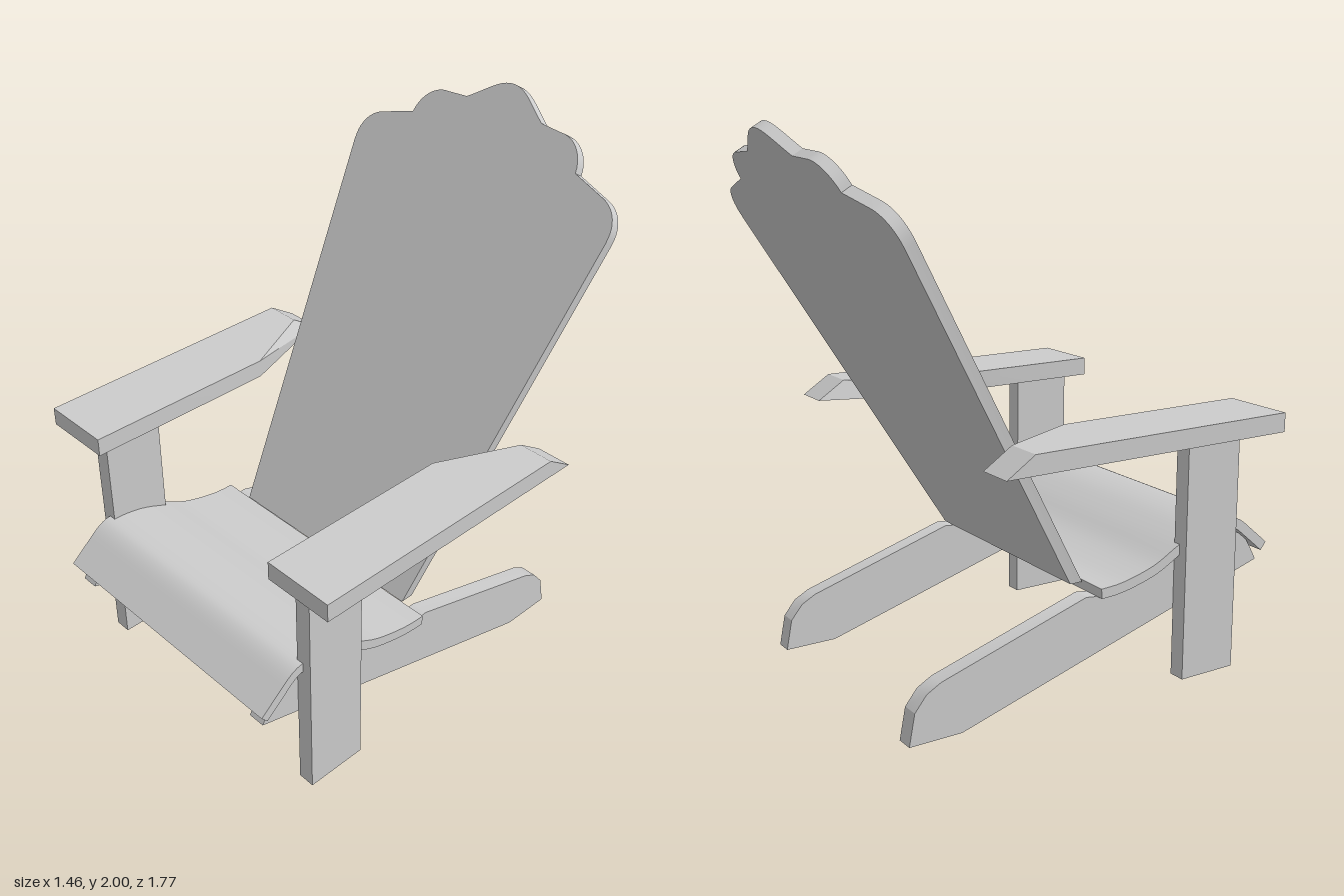
import * as THREE from 'three';
import { toCreasedNormals } from 'three/addons/utils/BufferGeometryUtils.js';

const material = new THREE.MeshStandardMaterial({ color: 0xcccccc });
const V = (x, y) => new THREE.Vector2(x, y);

function part(name, geometry) {
  const mesh = new THREE.Mesh(toCreasedNormals(geometry, 0.45), material);
  mesh.name = name;
  return mesh;
}

// Extrude a side profile given in (z, y) across the width, centred on x
function sideExtrude(shape, width, x) {
  const g = new THREE.ExtrudeGeometry(shape, { depth: width, bevelEnabled: false, curveSegments: 8 });
  return g.translate(0, 0, -width / 2).rotateY(-Math.PI / 2).translate(x, 0, 0);
}

// Curved seat board: a top curve and its offset underside
function seat() {
  const top = new THREE.SplineCurve([
    V(0.885, 0.44), V(0.82, 0.495), V(0.75, 0.55), V(0.69, 0.565), V(0.58, 0.55),
    V(0.465, 0.505), V(0.35, 0.447), V(0.215, 0.412), V(0.12, 0.405)]);
  const upper = [], lower = [];
  for (let i = 0; i <= 32; i++) {
    const p = top.getPoint(i / 32), t = top.getTangent(i / 32);
    upper.push(p);
    lower.unshift(V(p.x - t.y * 0.037, p.y + t.x * 0.037));
  }
  return part('seat', sideExtrude(new THREE.Shape([...upper, ...lower]), 1.075, 0));
}

// Leaning back board with a scalloped crown
function backrest() {
  const lean = Math.atan2(0.96, 1.6), thick = 0.043;
  const s = (y) => (y - 0.4) / Math.cos(lean); // height to distance along the board
  const half = [
    V(0.429, s(0.4)), V(0.609, s(1.66)),
    ...new THREE.CubicBezierCurve(V(0.61, s(1.68)), V(0.61, s(1.73)), V(0.575, s(1.765)), V(0.53, s(1.777))).getPoints(10),
    ...new THREE.CubicBezierCurve(V(0.388, s(1.815)), V(0.382, s(1.87)), V(0.33, s(1.915)), V(0.265, s(1.912))).getPoints(10),
    ...new THREE.CubicBezierCurve(V(0.177, s(1.917)), V(0.1, s(1.96)), V(0.06, s(2)), V(0, s(2))).getPoints(10)];
  const mirrored = half.slice(0, -1).reverse().map((p) => V(-p.x, p.y));
  const g = new THREE.ExtrudeGeometry(new THREE.Shape([...half, ...mirrored]), { depth: thick, bevelEnabled: false });
  g.translate(0, 0, -thick);
  // Cut the foot of the board level
  const pos = g.attributes.position;
  for (let i = 0; i < pos.count; i++) {
    if (pos.getY(i) < 0.01 && pos.getZ(i) < -0.01) pos.setY(i, thick * Math.tan(lean));
  }
  g.rotateX(-lean).translate(0, 0.4, 0.115);
  return part('backrest', g);
}

// Sloping rail that doubles as the rear leg
function rail(side) {
  const shape = new THREE.Shape();
  shape.moveTo(-0.43, 0);
  shape.lineTo(0.86, 0.37);
  shape.lineTo(0.83, 0.425);
  shape.splineThru([V(0.79, 0.475), V(0.7, 0.515), V(0.58, 0.51), V(0.465, 0.46), V(0.35, 0.395), V(0.22, 0.363), V(0.075, 0.375)]);
  shape.lineTo(-0.51, 0.2);
  shape.lineTo(-0.565, 0.17);
  shape.lineTo(-0.61, 0.115);
  shape.lineTo(-0.632, 0);
  return part('sideRail', sideExtrude(shape, 0.065, side * 0.4775));
}

function frontLeg(side) {
  const g = new THREE.BoxGeometry(0.064, 0.92, 0.235);
  return part('frontLeg', g.translate(side * 0.542, 0.46, 0.583));
}

// Arm board: tapered inner rear edge and a sloped rear end
function armrest(side) {
  const outline = [V(0.455, -0.765), V(0.73, -0.765), V(0.73, 0.4), V(0.595, 0.4), V(0.455, -0.01)]
    .map((p) => V(side * p.x, p.y));
  const g = new THREE.ExtrudeGeometry(new THREE.Shape(outline), { depth: 0.07, bevelEnabled: false });
  g.rotateX(-Math.PI / 2).translate(0, 0.92, 0);
  const pos = g.attributes.position;
  for (let i = 0; i < pos.count; i++) {
    if (pos.getY(i) > 0.95 && pos.getZ(i) < -0.3) pos.setZ(i, -0.292);
  }
  return part('armrest', g);
}

export function createModel() {
  const chair = new THREE.Group();
  chair.name = 'gardenChair';
  chair.add(seat(), backrest());
  for (const side of [-1, 1]) {
    const frame = new THREE.Group();
    frame.name = side > 0 ? 'leftFrame' : 'rightFrame';
    frame.add(rail(side), frontLeg(side), armrest(side));
    chair.add(frame);
  }
  return chair;
}
